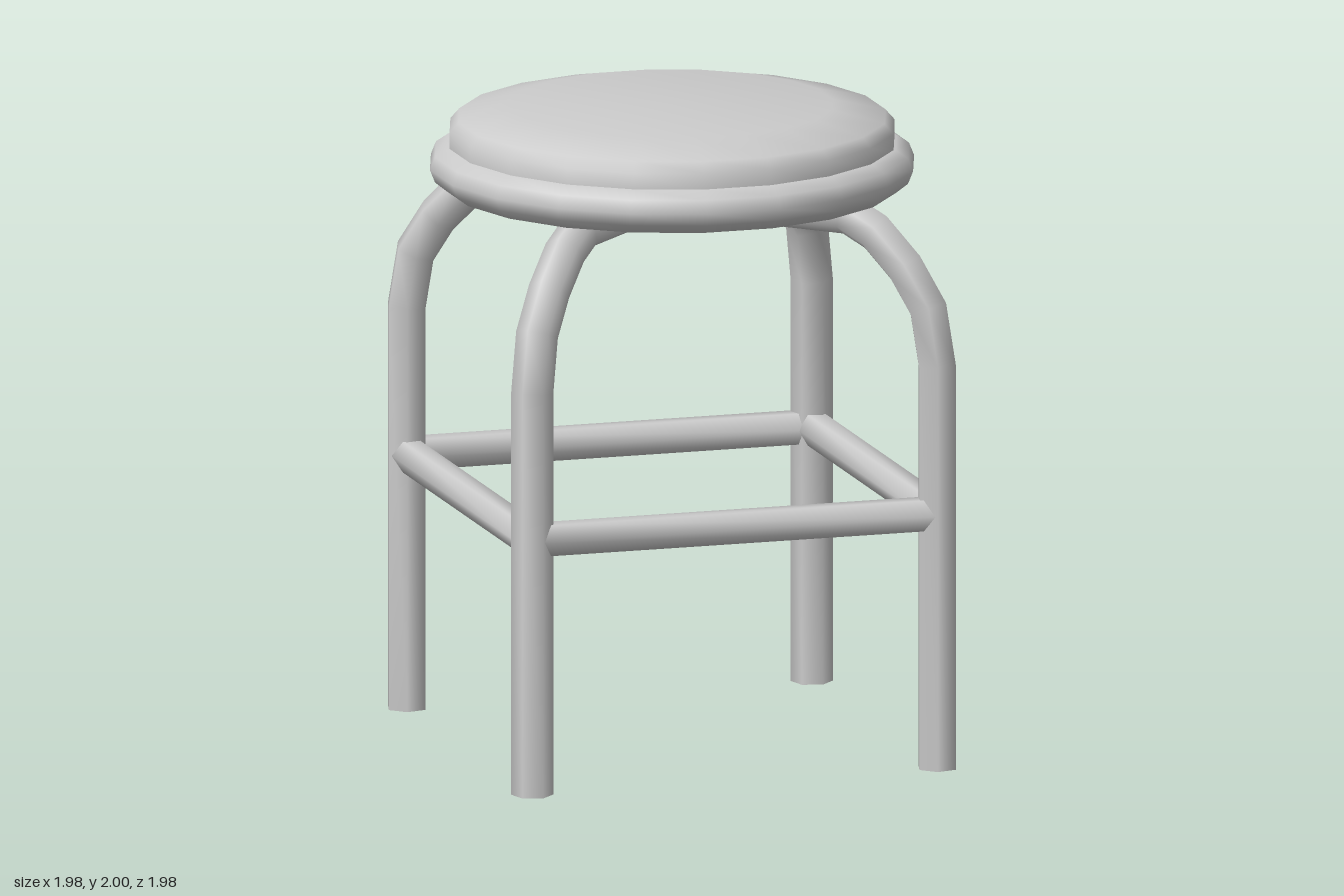
import * as THREE from 'three';
import { toCreasedNormals } from 'three/addons/utils/BufferGeometryUtils.js';

const material = new THREE.MeshStandardMaterial({ color: 0xcccccc });
const v2 = (p) => new THREE.Vector2(p[0], p[1]);

function part(name, geometry, crease) {
  const mesh = new THREE.Mesh(toCreasedNormals(geometry, crease), material);
  mesh.name = name;
  return mesh;
}

// Mitred tube with capped ends along a path in the xy plane
function sweep(path, radius, sides) {
  const pos = [], index = [], n = path.length;
  path.forEach((p, i) => {
    const d0 = p.clone().sub(path[Math.max(i - 1, 0)]).normalize();
    const d1 = path[Math.min(i + 1, n - 1)].clone().sub(p).normalize();
    const t = d0.clone().add(d1).normalize();
    const mitre = 1 / t.dot(i ? d0 : d1);
    for (let j = 0; j < sides; j++) {
      const a = (j / sides) * Math.PI * 2;
      const off = radius * Math.cos(a) * mitre;
      pos.push(p.x - t.y * off, p.y + t.x * off, radius * Math.sin(a));
    }
  });
  for (let i = 0; i < n - 1; i++) {
    for (let j = 0; j < sides; j++) {
      const a = i * sides + j, b = i * sides + (j + 1) % sides;
      index.push(a, b, a + sides, b, b + sides, a + sides);
    }
  }
  const last = (n - 1) * sides;
  for (let j = 1; j < sides - 1; j++) {
    index.push(0, j + 1, j, last, last + j, last + j + 1);
  }
  const g = new THREE.BufferGeometry();
  g.setAttribute('position', new THREE.Float32BufferAttribute(pos, 3));
  g.setIndex(index);
  return g;
}

export function createModel() {
  const stool = new THREE.Group();
  stool.name = 'stool';
  const legX = 0.924;

  // Two bent tubes crossing under the seat, each forming a pair of legs
  const half = [[legX, 0], [legX, 1.27], [0.893, 1.445], [0.813, 1.567], [0.71, 1.668], [0.61, 1.717]];
  const mirrored = half.map(([x, y]) => [-x, y]).reverse();
  const path = [...half, ...mirrored].map(v2);
  ['sideLegs', 'frontBackLegs'].forEach((name, i) => {
    const legs = part(name, sweep(path, 0.065, 6), 1.2);
    legs.rotation.y = -i * Math.PI / 2;
    stool.add(legs);
  });

  // Four hexagonal rails running from leg centre to leg centre
  for (let i = 0; i < 4; i++) {
    const bar = new THREE.CylinderGeometry(0.056, 0.056, legX * Math.SQRT2, 6);
    bar.rotateY(Math.PI / 2).rotateZ(Math.PI / 2);
    // Turn the section so that a ridge points straight up
    bar.rotateX(Math.PI / 2);
    bar.translate(0, 0.803, legX / Math.SQRT2);
    const rail = part('footRail', bar, 1.2);
    rail.rotation.y = Math.PI / 4 + i * Math.PI / 2;
    stool.add(rail);
  }

  // Seat: flat underside, rounded rim and padded cushion
  const underside = [[0, 1.757], [0.64, 1.757]].map(v2);
  stool.add(part('seatUnderside', new THREE.LatheGeometry(underside, 20), 0.9));
  const rim = [[0.615, 1.8], [0.625, 1.763], [0.655, 1.745], [0.7, 1.745], [0.738, 1.775],
    [0.754, 1.815], [0.738, 1.855], [0.7, 1.88], [0.6, 1.88]].map(v2);
  stool.add(part('seatRim', new THREE.LatheGeometry(rim, 20), 0.9));
  const cushion = [[0.693, 1.87], [0.693, 1.93], [0.665, 1.962], [0.5, 2], [0, 2]].map(v2);
  stool.add(part('seatCushion', new THREE.LatheGeometry(cushion, 20), 0.9));

  return stool;
}
